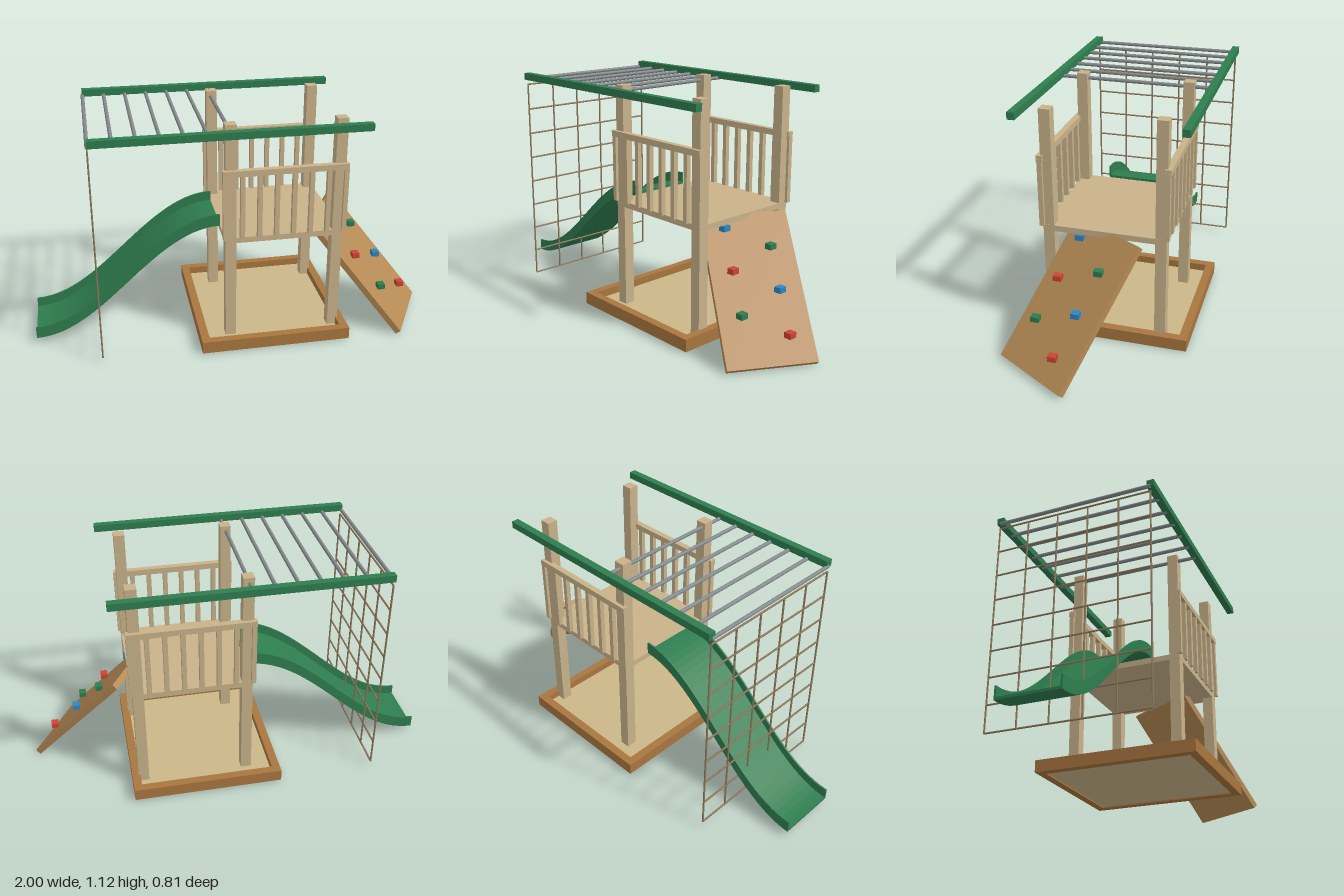
import * as THREE from 'three';

const mat = (name, color, side = THREE.FrontSide) => {
  const m = new THREE.MeshStandardMaterial({ color, side });
  m.name = name;
  return m;
};

export function createModel() {
  const root = new THREE.Group();
  root.name = 'playground';

  const wood = mat('light wood', 0xc8b28a);
  const sand = mat('sand', 0xcab688);
  const frameWood = mat('brown wood', 0xa9763f);
  const boardWood = mat('climbing board wood', 0xb58a54);
  const green = mat('green', 0x2e7d4f);
  const metal = mat('grey metal', 0x848a8c);
  const rope = mat('rope', 0x8f7a5c);
  const red = mat('red', 0xcb4335);
  const blue = mat('blue', 0x2e86c1);

  const group = (name) => {
    const g = new THREE.Group();
    g.name = name;
    root.add(g);
    return g;
  };
  const add = (parent, name, geometry, material, x, y, z) => {
    const m = new THREE.Mesh(geometry, material);
    m.name = name;
    m.position.set(x, y, z);
    parent.add(m);
    return m;
  };
  const box = (parent, name, material, x0, x1, y0, y1, z0, z1) =>
    add(parent, name, new THREE.BoxGeometry(x1 - x0, y1 - y0, z1 - z0), material,
      (x0 + x1) / 2, (y0 + y1) / 2, (z0 + z1) / 2);

  const CZ = -0.012; // centre line of the tower

  // Sandbox: four boards around a sand bed
  const sandbox = group('sandbox');
  for (const s of [-1, 1]) {
    const z = CZ + s * 0.378;
    box(sandbox, 'sandboxLongBoard', frameWood, -0.21, 0.525, 0.007, 0.067, z - 0.02, z + 0.02);
    const x = 0.1575 + s * 0.3475;
    box(sandbox, 'sandboxShortBoard', frameWood, x - 0.02, x + 0.02, 0.007, 0.067, CZ - 0.358, CZ + 0.358);
  }
  box(sandbox, 'sandBed', sand, -0.17, 0.485, 0.014, 0.03, CZ - 0.358, CZ + 0.358);

  // Tower: corner posts and deck
  const tower = group('tower');
  for (const x of [-0.052, 0.468]) {
    for (const s of [-1, 1]) {
      const z = CZ + s * 0.2635;
      box(tower, 'post', wood, x - 0.026, x + 0.026, 0.02, 1.123, z - 0.026, z + 0.026);
    }
  }
  box(tower, 'deck', wood, -0.079, 0.495, 0.535, 0.563, CZ - 0.29, CZ + 0.29);

  // Railings on both sides of the deck
  for (const s of [-1, 1]) {
    const railing = group(s > 0 ? 'frontRailing' : 'backRailing');
    const z = CZ + s * 0.292;
    box(railing, 'handrail', wood, -0.092, 0.505, 0.877, 0.906, z - 0.015, z + 0.015);
    for (let i = 0; i < 8; i++) {
      const x = -0.08 + i * 0.0823;
      box(railing, 'baluster', wood, x - 0.011, x + 0.011, 0.56, 0.89, z - 0.0115, z + 0.0115);
    }
  }

  // Overhead ladder: two beams and the rungs between them
  const ladder = group('monkeyBars');
  for (const s of [-1, 1]) {
    const z = CZ + s * 0.3815;
    box(ladder, 'beam', green, -0.69, 0.578, 1.092, 1.126, z - 0.0175, z + 0.0175);
  }
  for (let i = 0; i < 7; i++) {
    add(ladder, 'rung', new THREE.CylinderGeometry(0.009, 0.009, 0.763, 12), metal,
      -0.687 + i * 0.1052, 1.095, CZ).rotation.x = Math.PI / 2;
  }

  // Rope net hanging from the far end of the beams
  const net = group('climbingNet');
  const NX = -0.687;
  for (let i = 0; i < 6; i++) {
    add(net, 'verticalRope', new THREE.CylinderGeometry(0.0045, 0.0045, 1.034, 6), rope,
      NX, 0.55, CZ - 0.3815 + i * 0.1526);
  }
  for (let i = 0; i < 9; i++) {
    add(net, 'crossRope', new THREE.CylinderGeometry(0.0045, 0.0045, 0.763, 6), rope,
      NX, 0.034 + i * 0.1291, CZ).rotation.x = Math.PI / 2;
  }

  // Slide: an S-shaped bed with a low wall on each side
  const slide = group('slide');
  const slideStrip = (height, width) => {
    const lower = [], upper = [];
    const n = 28;
    for (let i = 0; i <= n; i++) {
      const t = i / n;
      const x = -1 + 0.92 * t;
      const y = 0.028 + 0.535 * 0.5 * (1 - Math.cos(Math.PI * t));
      lower.push(new THREE.Vector2(x, y));
      upper.unshift(new THREE.Vector2(x, y + height));
    }
    return new THREE.ExtrudeGeometry(new THREE.Shape([...lower, ...upper]),
      { depth: width, bevelEnabled: false });
  };
  add(slide, 'slideBed', slideStrip(0.012, 0.29), green, 0, 0, CZ - 0.145);
  add(slide, 'slideWallBack', slideStrip(0.06, 0.008), green, 0, 0, CZ - 0.146);
  add(slide, 'slideWallFront', slideStrip(0.06, 0.008), green, 0, 0, CZ + 0.138);

  // Climbing board leaning on the deck, turned towards the front
  const wall = group('climbingWall');
  const board = add(wall, 'climbingBoard', new THREE.BoxGeometry(0.41, 0.03, 0.722), boardWood,
    0.675, 0.281, 0.095);
  board.rotation.set(THREE.MathUtils.degToRad(48), THREE.MathUtils.degToRad(60), 0, 'YXZ');

  // Hand holds in two staggered columns
  const colours = [blue, green, red];
  for (let i = 0; i < 6; i++) {
    const pair = Math.floor(i / 2), odd = i % 2;
    add(wall, 'handHold', new THREE.BoxGeometry(0.035, 0.026, 0.039), colours[i % 3],
      0.482 + pair * 0.122 + odd * 0.158, 0.516 - i * 0.077, 0.107 + pair * 0.0685 - odd * 0.136);
  }

  return root;
}
